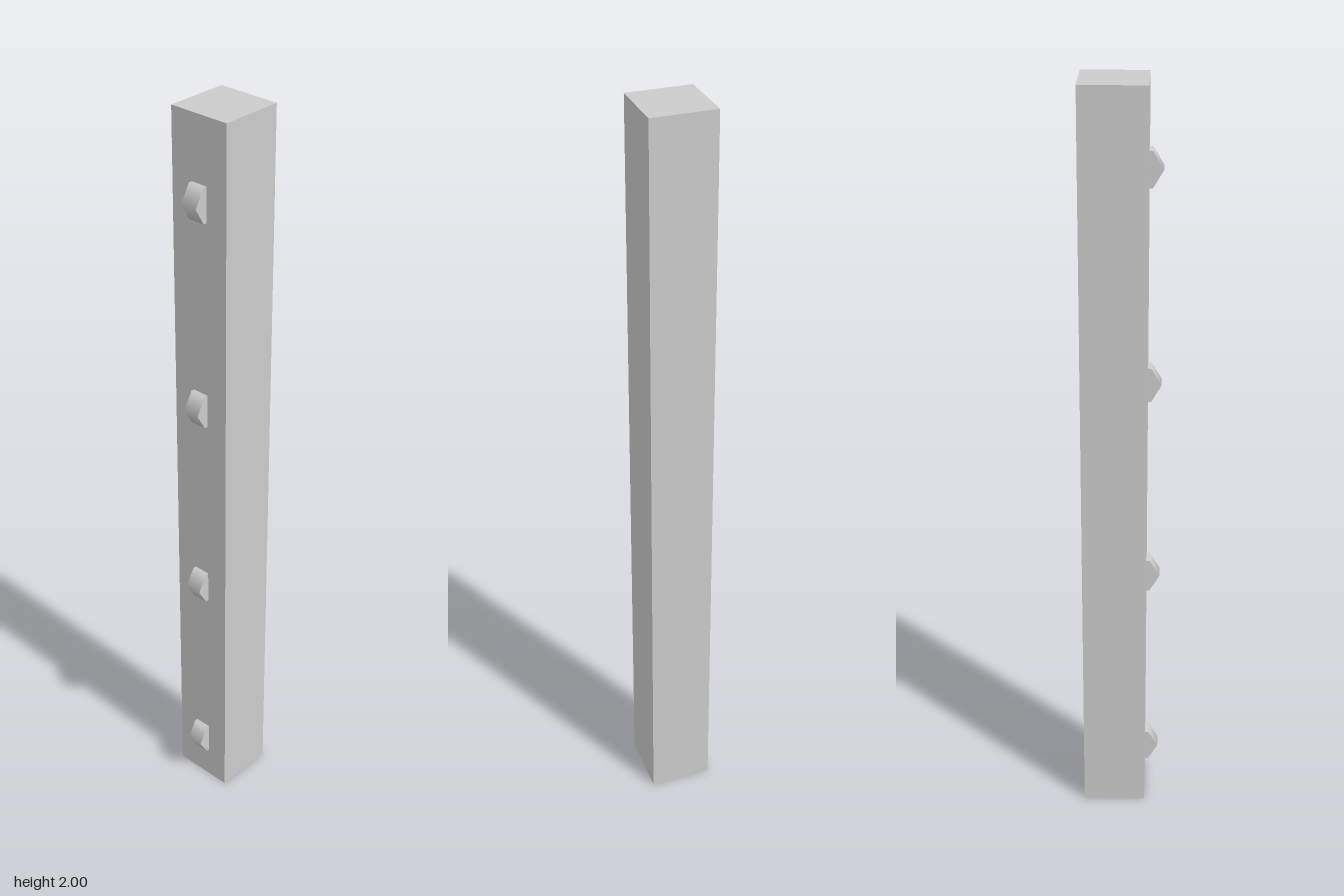
import * as THREE from 'three';

export function createModel() {
  const group = new THREE.Group();
  const W = 0.167, H = 2, postZ = -0.018;

  // Hollow square post, closed on top and open at the bottom
  const shell = new THREE.BoxGeometry(W, H, W);
  const faces = Array.from(shell.index.array);
  faces.splice(18, 6); // drop the bottom face
  shell.setIndex(faces);
  shell.clearGroups();
  const post = new THREE.Mesh(shell, new THREE.MeshStandardMaterial({ color: 0xcccccc, side: THREE.DoubleSide }));
  post.name = 'post';
  post.position.set(0, H / 2, postZ);
  group.add(post);

  // Four six-sided pegs lying across the front, half sunk into the post
  const R = 0.052;
  const pegShape = new THREE.CylinderGeometry(R, R, 0.045, 6).rotateZ(Math.PI / 2);
  const pegMaterial = new THREE.MeshStandardMaterial({ color: 0xcccccc });
  for (let i = 0; i < 4; i++) {
    const peg = new THREE.Mesh(pegShape, pegMaterial);
    peg.name = `peg${i + 1}`;
    peg.position.set(0, 0.14 + i * 0.55, 0.101 - R);
    group.add(peg);
  }
  return group;
}
